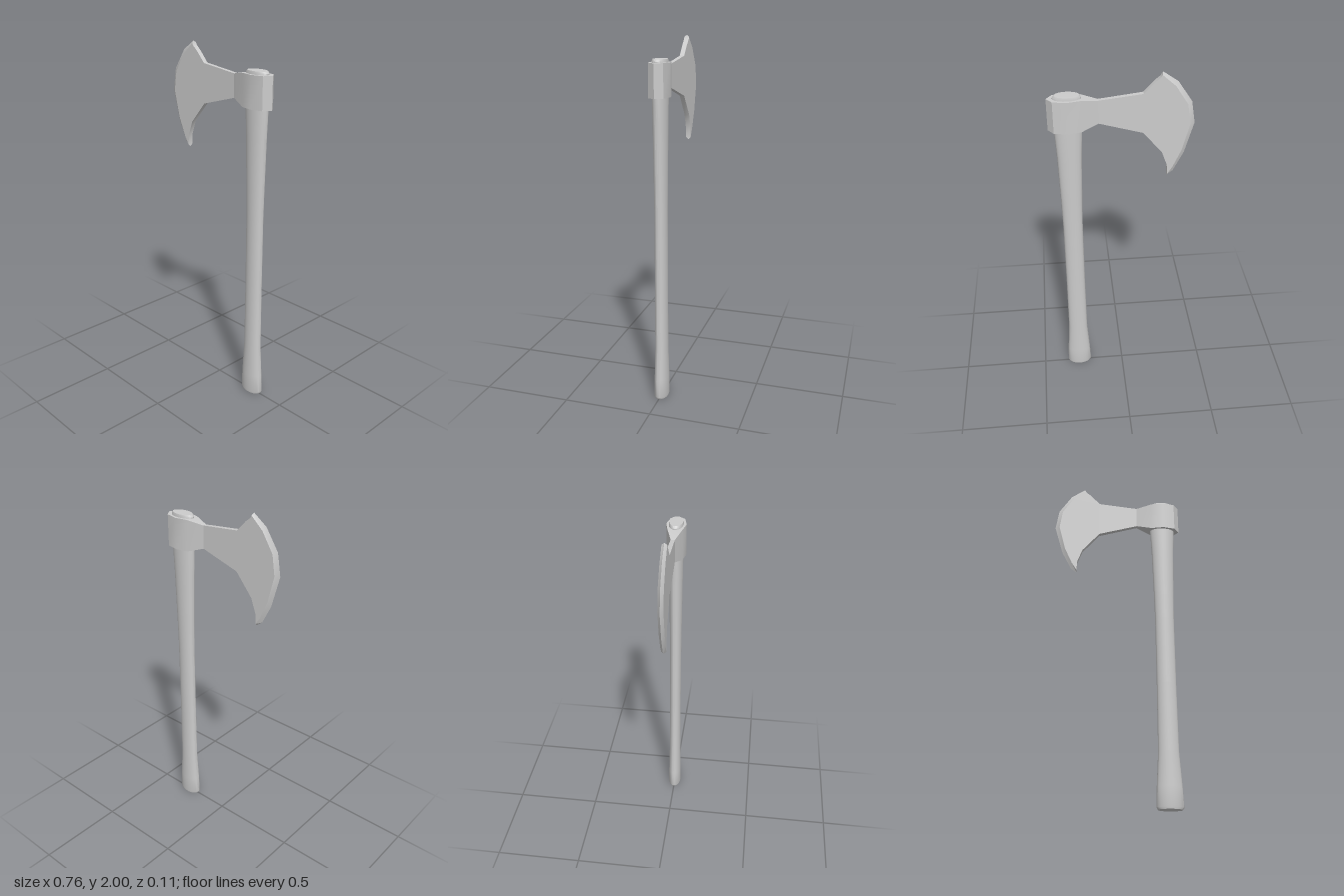
import * as THREE from 'three';
import { toCreasedNormals } from 'three/addons/utils/BufferGeometryUtils.js';

const material = new THREE.MeshStandardMaterial({ color: 0xcccccc });

// Collects triangles and quads into a mesh with smooth normals and sharp creases
function meshFromFaces(name, build) {
  const pos = [];
  const tri = (a, b, c) => {
    const [A, B, C] = [a, b, c].map((p) => new THREE.Vector3(...p));
    if (B.sub(A).cross(C.sub(A)).length() > 1e-9) pos.push(...a, ...b, ...c);
  };
  const quad = (a, b, c, d) => { tri(a, b, c); tri(a, c, d); };
  build(tri, quad);
  const geo = new THREE.BufferGeometry();
  geo.setAttribute('position', new THREE.Float32BufferAttribute(pos, 3));
  const mesh = new THREE.Mesh(toCreasedNormals(geo, 0.45), material);
  mesh.name = name;
  return mesh;
}

// Oval shaft, flared at both ends, running through the eye of the head
function createHandle() {
  const profile = [
    [0, 0], [0.066, 0.002], [0.073, 0.014], [0.069, 0.12], [0.057, 0.31], [0.055, 0.7], [0.055, 1.1],
    [0.058, 1.25], [0.066, 1.55], [0.073, 1.71], [0.073, 1.886], [0.064, 1.897], [0, 1.898],
  ].map(([r, y]) => new THREE.Vector2(r, y));
  const geo = new THREE.LatheGeometry(profile, 24);
  const p = geo.attributes.position;
  for (let i = 0; i < p.count; i++) {
    const r = Math.hypot(p.getX(i), p.getZ(i));
    p.setZ(i, p.getZ(i) * THREE.MathUtils.mapLinear(THREE.MathUtils.clamp(r, 0.055, 0.075), 0.055, 0.075, 0.61, 0.53));
  }
  const mesh = new THREE.Mesh(toCreasedNormals(geo, 0.6), material);
  mesh.name = 'handle';
  mesh.position.x = 0.276;
  return mesh;
}

// Flat cheek and neck with a bevel running out to the cutting edge
function createBlade() {
  const top = [[0.12, 1.863], [-0.11, 1.89], [-0.165, 1.95], [-0.195, 1.975]];
  const bevel = [[-0.201, 1.988], [-0.272, 1.925], [-0.338, 1.822], [-0.355, 1.71], [-0.318, 1.56], [-0.272, 1.455], [-0.245, 1.412]];
  const edge = [[-0.206, 2.0], [-0.285, 1.945], [-0.36, 1.832], [-0.38, 1.71], [-0.332, 1.535], [-0.277, 1.425], [-0.243, 1.4]];
  const bottom = [[-0.241, 1.47], [-0.212, 1.55], [-0.11, 1.67], [0.12, 1.735]];
  const outline = [...top, ...bevel, ...bottom];
  const at = ([x, y], side) => [x, y, side * THREE.MathUtils.mapLinear(x, -0.355, 0.12, 0.015, 0.011)];
  return meshFromFaces('blade', (tri, quad) => {
    const faces = THREE.ShapeUtils.triangulateShape(outline.map((p) => new THREE.Vector2(...p)), []);
    for (const [a, b, c] of faces) {
      tri(at(outline[a], 1), at(outline[b], 1), at(outline[c], 1));
      tri(at(outline[c], -1), at(outline[b], -1), at(outline[a], -1));
    }
    // upper and lower rims
    for (const rim of [[...top, bevel[0]], [bevel[bevel.length - 1], ...bottom]]) {
      for (let i = 0; i < rim.length - 1; i++) {
        quad(at(rim[i], 1), at(rim[i], -1), at(rim[i + 1], -1), at(rim[i + 1], 1));
      }
    }
    // ground bevels
    const e = edge.map(([x, y]) => [x, y, 0]);
    for (let i = 0; i < e.length - 1; i++) {
      quad(at(bevel[i], 1), e[i], e[i + 1], at(bevel[i + 1], 1));
      quad(at(bevel[i + 1], -1), e[i + 1], e[i], at(bevel[i], -1));
    }
    // bevel ends at the two tips
    const last = e.length - 1;
    tri(at(bevel[0], 1), at(bevel[0], -1), e[0]);
    tri(at(bevel[last], -1), at(bevel[last], 1), e[last]);
  });
}

// Swollen eye around the handle: x, half thickness, bottom, top
function createSocket() {
  const stations = [
    [0.12, 0.011, 1.735, 1.863], [0.21, 0.04, 1.705, 1.88], [0.28, 0.055, 1.705, 1.88],
    [0.35, 0.04, 1.705, 1.88], [0.38, 0, 1.705, 1.88],
  ];
  return meshFromFaces('socket', (tri, quad) => {
    for (let i = 0; i < stations.length - 1; i++) {
      const corners = ([x, z, lo, hi]) => [[x, lo, z], [x, hi, z], [x, hi, -z], [x, lo, -z]];
      const a = corners(stations[i]);
      const b = corners(stations[i + 1]);
      for (let k = 0; k < 4; k++) {
        const n = (k + 1) % 4;
        quad(a[k], b[k], b[n], a[n]);
      }
    }
  });
}

export function createModel() {
  const axe = new THREE.Group();
  axe.name = 'axe';
  const head = new THREE.Group();
  head.name = 'axeHead';
  head.add(createBlade(), createSocket());
  axe.add(createHandle(), head);
  return axe;
}
